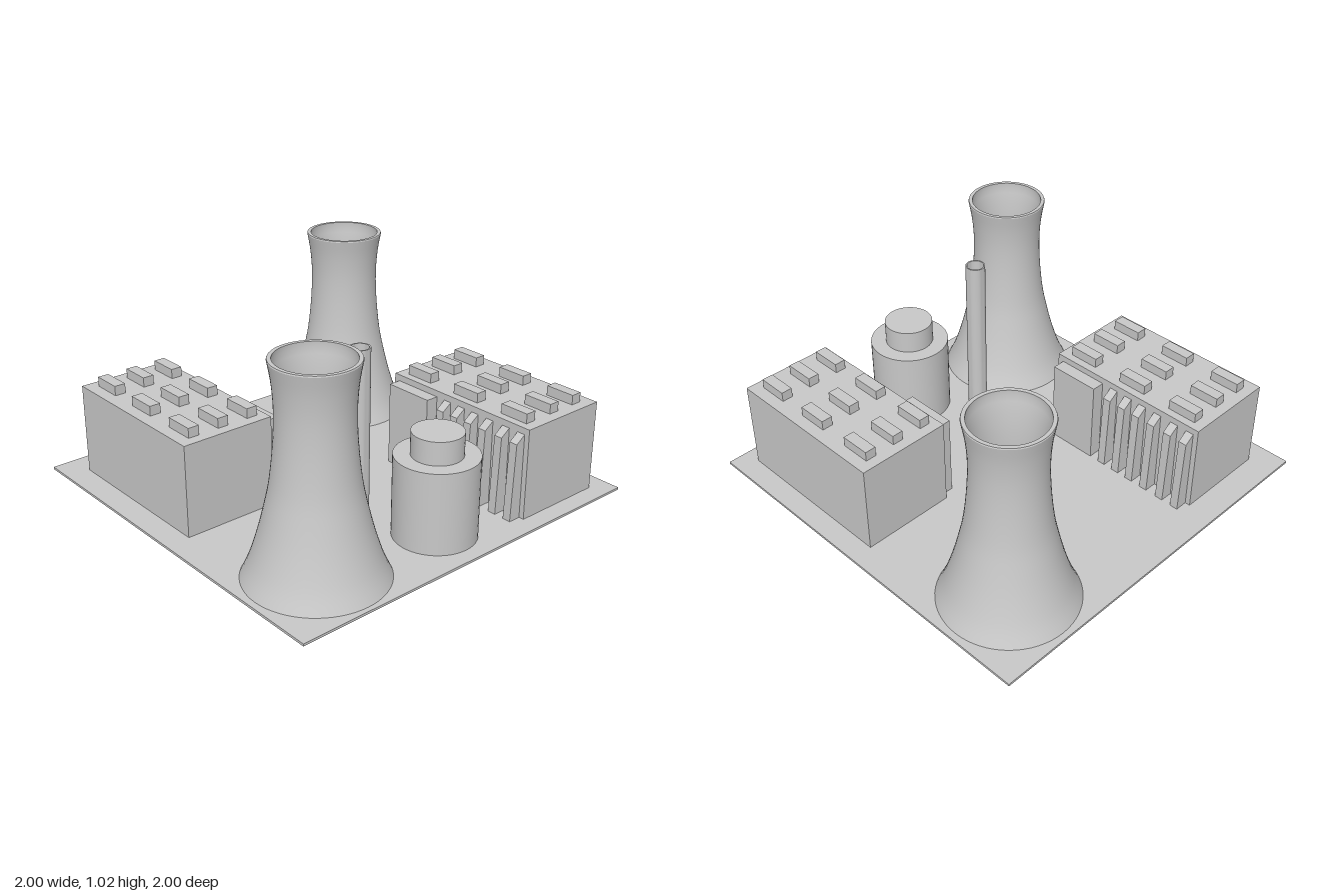
import * as THREE from 'three';
import { toCreasedNormals } from 'three/addons/utils/BufferGeometryUtils.js';

const GROUND = 0.012;
const concrete = new THREE.MeshStandardMaterial({ color: 0xc8c8c8 });
concrete.name = 'concrete grey';

function add(parent, name, geometry, x = 0, y = 0, z = 0) {
  const mesh = new THREE.Mesh(geometry, concrete);
  mesh.name = name;
  mesh.position.set(x, y, z);
  parent.add(mesh);
  return mesh;
}

// Box standing on height y
function block(parent, name, w, h, d, x, y, z) {
  return add(parent, name, new THREE.BoxGeometry(w, h, d), x, y + h / 2, z);
}

// Cylinder standing on height y
function drum(parent, name, r, h, x, y, z) {
  return add(parent, name, new THREE.CylinderGeometry(r, r, h, 48), x, y + h / 2, z);
}

// Hollow shell: up the outside, over the rim, down the inside
function shell(outer, inner, segments) {
  const points = [...outer, ...inner].map(([r, y]) => new THREE.Vector2(r, y));
  return toCreasedNormals(new THREE.LatheGeometry(points, segments), 0.5);
}

// Flared cooling tower with an open top
function coolingTowerGeometry() {
  const curve = new THREE.SplineCurve([
    [0.333, GROUND], [0.294, 0.1], [0.255, 0.22], [0.222, 0.35], [0.196, 0.48],
    [0.178, 0.65], [0.173, 0.8], [0.181, 0.92], [0.197, 1.015],
  ].map(([r, y]) => new THREE.Vector2(r, y)));
  const outer = curve.getPoints(28).map((p) => [p.x, p.y]);
  const inner = outer.map(([r, y]) => [r - 0.015, y]).reverse();
  outer.push([0.195, 1.021]);
  inner[0] = [0.177, 1.021];
  return shell(outer, inner, 64);
}

// Turbine hall with roof vents, a side annex and a row of buttresses on its +x side
function turbineHall() {
  const hall = new THREE.Group();
  const w = 0.485, d = 0.884, roof = 0.473, eave = 0.441;
  block(hall, 'hallBody', w, roof - GROUND, d, 0, GROUND, 0);

  for (const x of [-0.152, 0.009, 0.173]) {
    for (const z of [-0.31, -0.003, 0.31]) {
      block(hall, 'roofVent', 0.057, 0.05, 0.155, x, roof - 0.001, z);
    }
  }

  block(hall, 'sideAnnex', 0.066, eave - GROUND, 0.264, w / 2 + 0.033, GROUND, 0.278);

  // Buttress: sloped cap and slightly battered outer face
  const profile = new THREE.Shape([
    [0, GROUND], [0.066, GROUND], [0.05, 0.405], [0, eave],
  ].map(([x, y]) => new THREE.Vector2(x, y)));
  const buttress = new THREE.ExtrudeGeometry(profile, { depth: 0.043, bevelEnabled: false });
  buttress.translate(0, 0, -0.0215);
  for (const z of [-0.394, -0.301, -0.2, -0.106, -0.017, 0.074]) {
    add(hall, 'buttress', buttress, w / 2, 0, z);
  }
  return hall;
}

export function createModel() {
  const model = new THREE.Group();
  model.name = 'powerPlant';

  block(model, 'groundSlab', 2, GROUND, 2, 0, 0, 0);

  // Cooling towers in opposite corners
  const tower = coolingTowerGeometry();
  add(model, 'coolingTowerBack', tower, 0.635, 0, -0.637);
  add(model, 'coolingTowerFront', tower, -0.635, 0, 0.643);

  // Two halls facing each other
  const backHall = turbineHall();
  backHall.name = 'turbineHallBack';
  backHall.position.set(-0.635, 0, -0.413);
  const frontHall = turbineHall();
  frontHall.name = 'turbineHallFront';
  frontHall.position.set(0.647, 0, 0.465);
  frontHall.rotation.y = Math.PI;
  model.add(backHall, frontHall);

  // Reactor building
  drum(model, 'reactorBody', 0.2, 0.417 - GROUND, 0, GROUND, 0.725);
  drum(model, 'reactorCap', 0.122, 0.117, 0, 0.415, 0.725);

  // Hollow chimney
  const chimney = shell(
    [[0.049, GROUND], [0.049, 0.896]],
    [[0.042, 0.896], [0.042, GROUND]], 32);
  add(model, 'chimney', chimney, -0.21, 0, 0.438);

  return model;
}
